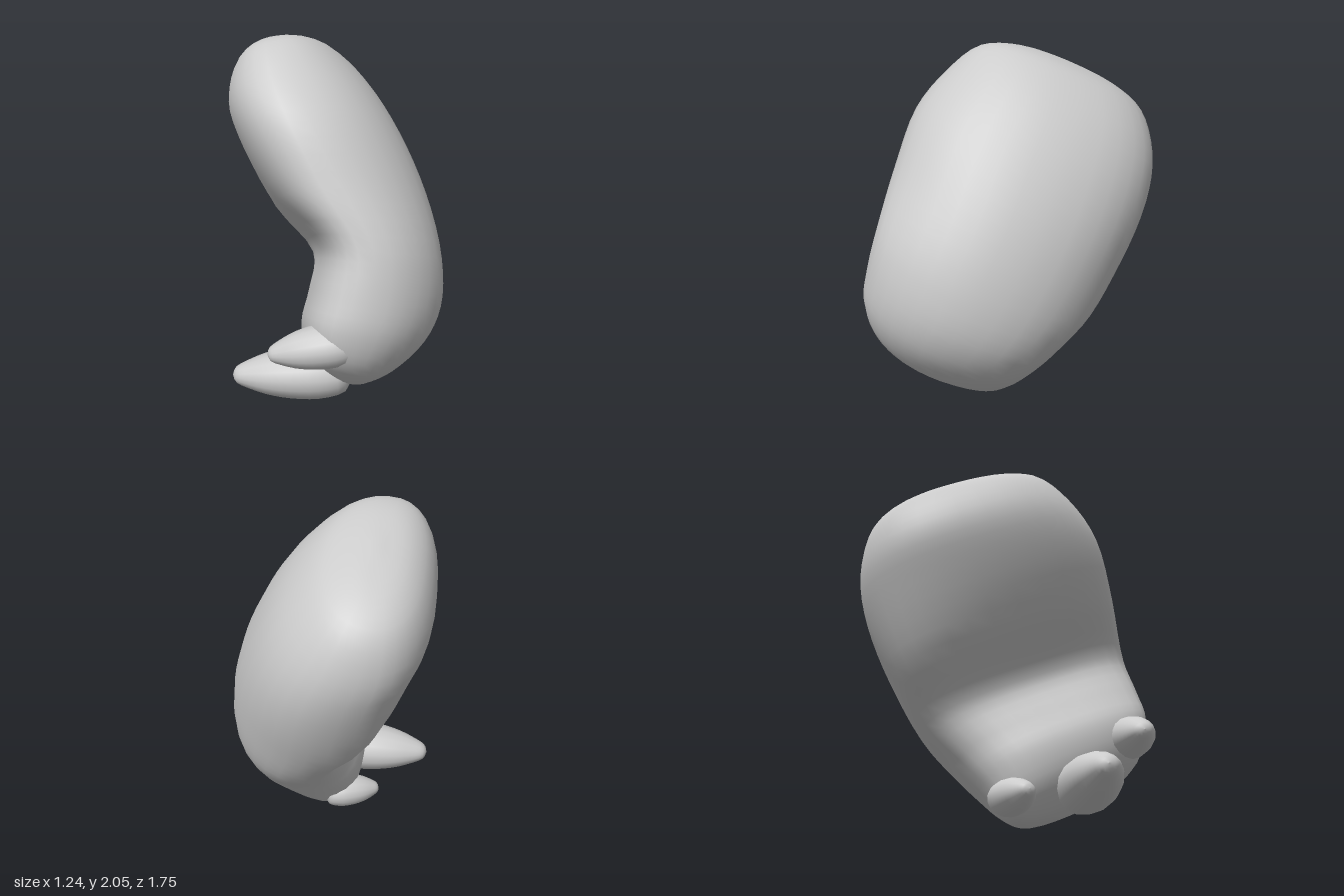
import * as THREE from 'three';
import { mergeVertices } from 'three/addons/utils/BufferGeometryUtils.js';

const material = new THREE.MeshStandardMaterial({ color: 0xcccccc });

// Body sections: outer edge (x, v), inner edge (x, v), half width, width offset.
// v runs along the body, u across it; both are tilted in the y-z plane.
const SECTIONS = [
  [-0.2, 1.0, -0.2, 1.0, 0, 0],
  [-0.06, 0.985, -0.37, 0.955, 0.31, -0.02],
  [0.1, 0.92, -0.48, 0.85, 0.51, -0.02],
  [0.29, 0.72, -0.54, 0.64, 0.64, -0.02],
  [0.45, 0.42, -0.48, 0.4, 0.71, 0.01],
  [0.57, 0.05, -0.31, 0.06, 0.71, 0.03],
  [0.62, -0.33, -0.09, -0.22, 0.67, 0.07],
  [0.59, -0.6, -0.15, -0.45, 0.6, 0.1],
  [0.48, -0.79, -0.21, -0.63, 0.54, 0.1],
  [0.29, -0.94, -0.18, -0.82, 0.44, 0.05],
  [0.14, -1.005, -0.06, -0.96, 0.27, -0.03],
  [0.04, -1.015, 0.04, -1.015, 0, -0.05],
];

function bodyGeometry(rows = 44, cols = 32) {
  const curve = (a, b, c) => new THREE.CatmullRomCurve3(
    SECTIONS.map((s) => new THREE.Vector3(s[a], s[b], s[c])));
  const outer = curve(0, 1, 4);
  const inner = curve(2, 3, 5);
  const positions = [];
  const index = [];
  const soft = (n) => Math.sign(n) * Math.pow(Math.abs(n), 0.88);
  for (let i = 0; i <= rows; i++) {
    const o = outer.getPoint(i / rows);
    const n = inner.getPoint(i / rows);
    // The upper lobe slants across its width, the lower lobe cups at both edges
    const upper = THREE.MathUtils.smoothstep((o.y + n.y) / 2, -0.3, 0.6);
    const slant = THREE.MathUtils.lerp(0.02, 0.15, upper);
    const cup = THREE.MathUtils.lerp(0.3, 0.13, upper);
    for (let j = 0; j < cols; j++) {
      const angle = (j / cols) * Math.PI * 2;
      const k = soft(Math.cos(angle)) / 2;
      const u = n.z + soft(Math.sin(angle)) * Math.max(o.z, 0);
      const x = (o.x + n.x) / 2 + k * (o.x - n.x) - slant * u - cup * u * u;
      const v = (o.y + n.y) / 2 + k * (o.y - n.y);
      positions.push(x, 1 + 0.92 * v + 0.4 * u, 0.92 * u - 0.4 * v);
      if (i < rows) {
        const a = i * cols + j;
        const b = i * cols + ((j + 1) % cols);
        index.push(a, b, a + cols, b, b + cols, a + cols);
      }
    }
  }
  const geometry = new THREE.BufferGeometry();
  geometry.setAttribute('position', new THREE.Float32BufferAttribute(positions, 3));
  geometry.setIndex(index);
  const merged = mergeVertices(geometry, 1e-4);
  merged.computeVertexNormals();
  return merged;
}

// Rounded claw tapering from its base to its blunt tip, slightly wider than tall
function claw(name, base, tip, radius) {
  const from = new THREE.Vector3(...base);
  const axis = new THREE.Vector3(...tip).sub(from);
  const length = axis.length();
  const profile = new THREE.SplineCurve([
    [0, 0], [0.75, 0.04], [1, 0.25], [0.97, 0.48], [0.8, 0.69], [0.54, 0.86], [0.3, 0.97], [0, 1],
  ].map(([r, t]) => new THREE.Vector2(r * radius, t * length)));
  const points = profile.getPoints(20);
  points.forEach((p) => { p.x = Math.max(p.x, 0); });
  const mesh = new THREE.Mesh(new THREE.LatheGeometry(points, 16), material);
  mesh.name = name;
  mesh.position.copy(from);
  mesh.quaternion.setFromUnitVectors(new THREE.Vector3(0, 1, 0), axis.normalize());
  mesh.scale.z = 1.15;
  return mesh;
}

export function createModel() {
  const group = new THREE.Group();
  group.name = 'clawedPaw';

  // Thick curled pad
  const body = new THREE.Mesh(bodyGeometry(), material);
  body.name = 'curledBody';
  group.add(body);

  // Three claws along the curled end
  group.add(
    claw('middleClaw', [0.04, 0.19, 0.46], [-0.62, 0.165, 0.35], 0.15),
    claw('frontClaw', [0.03, 0.52, 0.73], [-0.45, 0.435, 0.65], 0.12),
    claw('backClaw', [0.06, 0.11, 0], [-0.28, 0.1, 0.05], 0.1),
  );
  return group;
}
